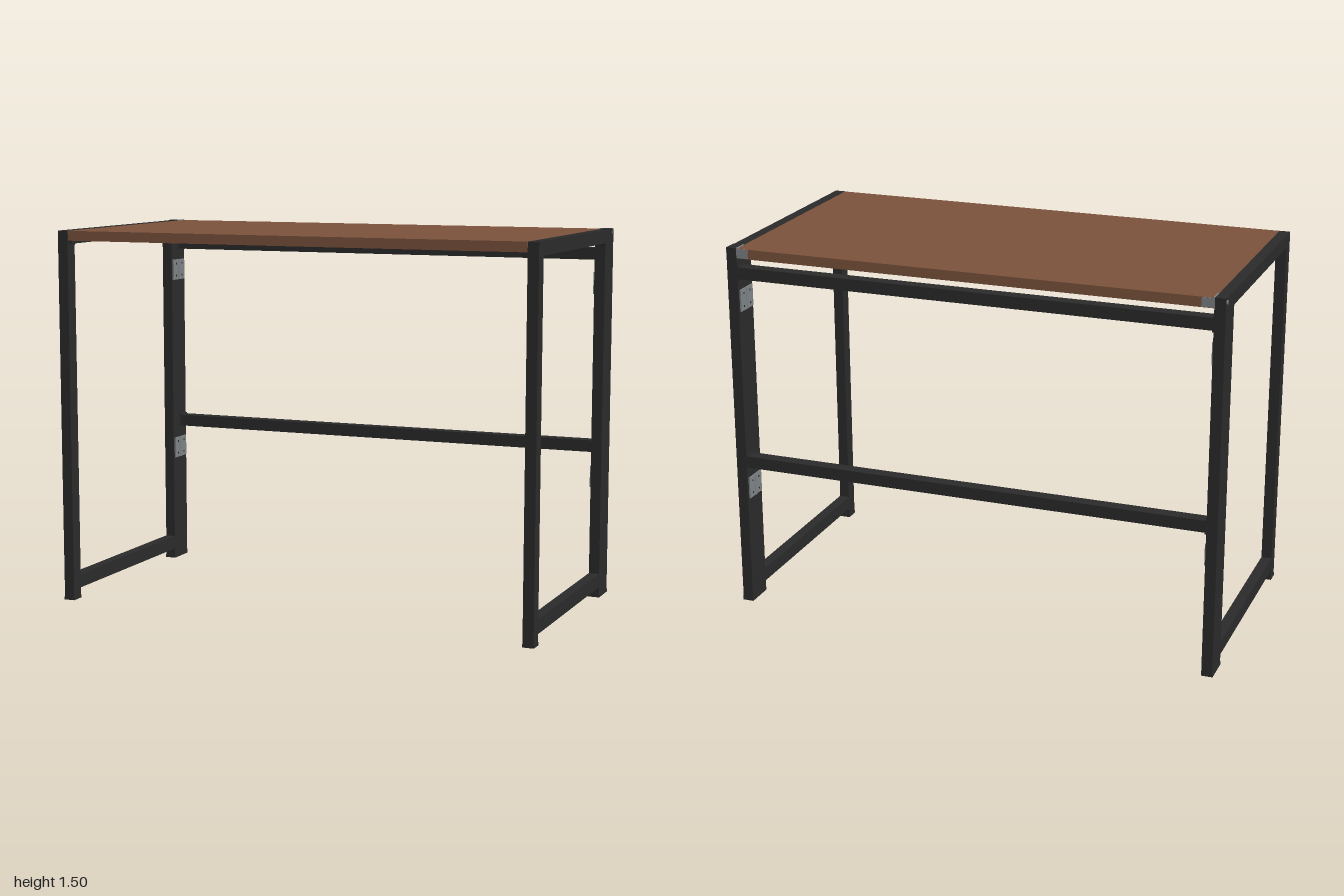
import * as THREE from 'three';

const material = (name, color) => {
  const m = new THREE.MeshStandardMaterial({ color });
  m.name = name;
  return m;
};

export function createModel() {
  const wood = material('brown wood', 0x7b523c);
  const metal = material('black metal', 0x2a2a2a);
  const steel = material('grey steel', 0x7d8286);
  const desk = new THREE.Group();
  desk.name = 'desk';

  // Box given by its limits on each axis
  const box = (parent, name, mat, [x0, x1], [y0, y1], [z0, z1]) => {
    const mesh = new THREE.Mesh(new THREE.BoxGeometry(Math.abs(x1 - x0), y1 - y0, z1 - z0), mat);
    mesh.position.set((x0 + x1) / 2, (y0 + y1) / 2, (z0 + z1) / 2);
    mesh.name = name;
    parent.add(mesh);
  };
  // Short cylinder lying along x
  const pin = (parent, name, mat, r, length, x, y, z) => {
    const mesh = new THREE.Mesh(new THREE.CylinderGeometry(r, r, length, 12), mat);
    mesh.rotation.z = Math.PI / 2;
    mesh.position.set(x, y, z);
    mesh.name = name;
    parent.add(mesh);
  };

  const inner = 0.953, outer = 0.996;

  // Folding side frame outline in z and y, with a softly rounded opening
  const outline = new THREE.Shape([
    [0.445, 0], [0.5, 0], [0.5, 1.498], [-0.44, 1.498], [-0.44, 0],
    [-0.382, 0], [-0.382, 0.042], [0.445, 0.042],
  ].map(([z, y]) => new THREE.Vector2(z, y)));
  const r = 0.012;
  const opening = new THREE.Path();
  opening.moveTo(-0.382, 0.098);
  opening.lineTo(-0.382, 1.445 - r);
  opening.quadraticCurveTo(-0.382, 1.445, -0.382 + r, 1.445);
  opening.lineTo(0.445 - r, 1.445);
  opening.quadraticCurveTo(0.445, 1.445, 0.445, 1.445 - r);
  opening.lineTo(0.445, 0.098);
  opening.closePath();
  outline.holes.push(opening);
  const frameGeometry = new THREE.ExtrudeGeometry(outline, {
    depth: outer - inner, bevelEnabled: false, curveSegments: 4,
  });
  frameGeometry.rotateY(-Math.PI / 2);

  // Table top
  box(desk, 'tableTop', wood, [-0.952, 0.952], [1.459, 1.498], [-0.498, 0.498]);

  for (const s of [1, -1]) {
    const side = new THREE.Group();
    side.name = s > 0 ? 'leftSide' : 'rightSide';
    desk.add(side);

    const frame = new THREE.Mesh(frameGeometry, metal);
    frame.position.x = s > 0 ? outer : -inner;
    frame.name = 'sideFrame';
    side.add(frame);

    // Fixed rear post and ledge under the top
    box(side, 'rearPost', metal, [s * inner, s * outer], [0, 1.5], [-0.5, -0.44]);
    box(side, 'topLedge', metal, [s * 0.937, s * inner], [1.447, 1.459], [-0.43, 0.49]);

    // Foot caps
    for (const [z0, z1] of [[0.444, 0.501], [-0.4395, -0.381], [-0.501, -0.4405]]) {
      box(side, 'footCap', metal, [s * 0.952, s * 0.998], [0, 0.012], [z0, z1]);
    }

    // Hinges joining the rear post to the folding frame
    for (const y of [1.285, 0.497]) {
      const hinge = new THREE.Group();
      hinge.name = 'hinge';
      side.add(hinge);
      for (const [z0, z1] of [[-0.49, -0.442], [-0.438, -0.39]]) {
        box(hinge, 'hingeLeaf', steel, [s * 0.947, s * inner], [y - 0.044, y + 0.044], [z0, z1]);
        for (const dy of [-0.026, 0.026]) {
          pin(hinge, 'hingeScrew', metal, 0.004, 0.002, s * 0.9465, y + dy, (z0 + z1) / 2);
        }
      }
      const knuckle = new THREE.Mesh(new THREE.CylinderGeometry(0.005, 0.005, 0.088, 10), steel);
      knuckle.position.set(s * 0.948, y, -0.44);
      knuckle.name = 'hingeKnuckle';
      hinge.add(knuckle);
    }

    // Corner bracket and pivot pin of the tilting top
    box(side, 'cornerBracketBack', steel, [s * 0.905, s * 0.953], [1.461, 1.4975], [-0.501, -0.498]);
    box(side, 'cornerBracketSide', steel, [s * 0.949, s * 0.955], [1.461, 1.501], [-0.5, -0.44]);
    pin(side, 'pivotPin', steel, 0.008, 0.01, s * 0.995, 1.484, -0.489);
  }

  // Rear crossbars with small weld beads at the ends
  for (const [name, y0, y1] of [['upperCrossbar', 1.375, 1.423], ['lowerCrossbar', 0.589, 0.637]]) {
    box(desk, name, metal, [-inner, inner], [y0, y1], [-0.497, -0.446]);
    for (const s of [1, -1]) {
      box(desk, 'weldBead', metal, [s * 0.947, s * inner], [y0 - 0.005, y1 + 0.005], [-0.499, -0.443]);
    }
  }
  return desk;
}
